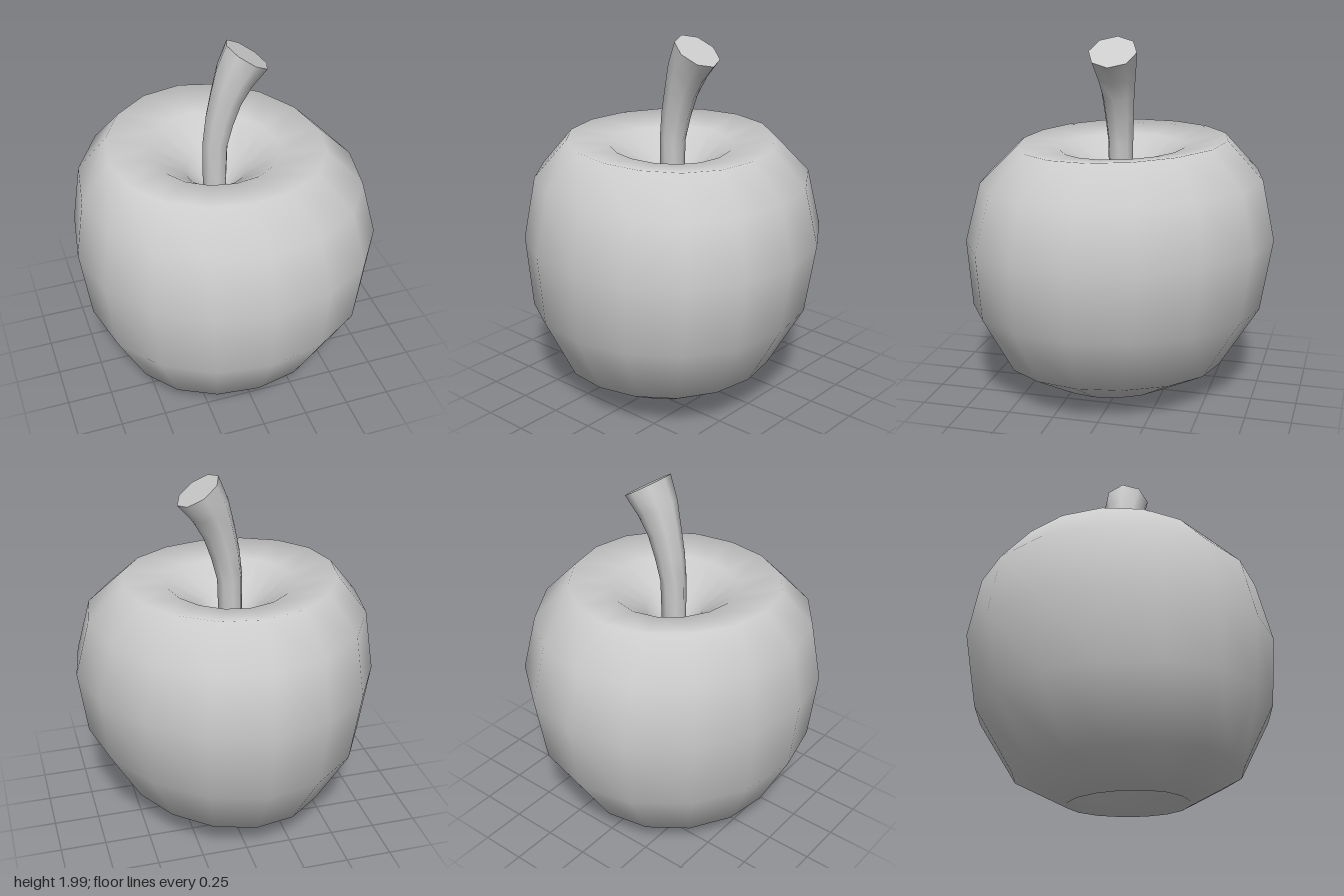
import * as THREE from 'three';

const material = new THREE.MeshStandardMaterial({ color: 0xcccccc, side: THREE.DoubleSide });

// Smooth skin over rings listed from top to bottom; point(ring, angle) gives [x, y, z].
function loft(name, rings, sides, point) {
  const positions = [];
  const index = [];
  rings.forEach((ring, i) => {
    for (let j = 0; j < sides; j++) {
      positions.push(...point(ring, (j / sides) * Math.PI * 2));
      if (i === rings.length - 1) continue;
      const a = i * sides + j;
      const b = i * sides + ((j + 1) % sides);
      index.push(a, b, a + sides, b, b + sides, a + sides);
    }
  });
  const geometry = new THREE.BufferGeometry();
  geometry.setAttribute('position', new THREE.Float32BufferAttribute(positions, 3));
  geometry.setIndex(index);
  geometry.computeVertexNormals();
  const mesh = new THREE.Mesh(geometry, material);
  mesh.name = name;
  return mesh;
}

// Fruit body: slightly uneven rings from the stem pit, over the shoulder, to the lower pit.
function createBody() {
  // [y, radius x, radius z, centre x, centre z, slope along x, slope along z]
  const rings = [
    [1.12, 0, 0, -0.04, 0.01, 0, 0],
    [1.14, 0.07, 0.07, -0.04, 0.01, 0, 0],
    [1.26, 0.16, 0.16, -0.04, 0.01, 0, 0],
    [1.4, 0.34, 0.34, -0.04, 0, -0.02, -0.02],
    [1.437, 0.58, 0.57, -0.035, -0.005, -0.02, -0.025],
    [1.24, 0.755, 0.765, -0.015, -0.005, -0.013, -0.013],
    [0.917, 0.82, 0.84, 0, 0, 0.006, -0.012],
    [0.53, 0.77, 0.795, 0, 0.02, 0.03, 0],
    [0.188, 0.59, 0.605, -0.01, 0.045, 0.055, 0.01],
    [0.03, 0.325, 0.32, -0.025, 0.05, 0.07, 0.005],
    [0.1, 0.2, 0.2, -0.02, 0.03, 0.03, 0],
    [0.2, 0.1, 0.1, -0.02, 0.02, 0, 0],
    [0.25, 0.04, 0.04, -0.02, 0.02, 0, 0],
    [0.25, 0, 0, -0.02, 0.02, 0, 0],
  ];
  return loft('fruitBody', rings, 16, ([y, rx, rz, cx, cz, sx, sz], t) => {
    const c = Math.cos(t);
    const s = Math.sin(t);
    const x = rx * (c - 0.015 + 0.03 * s);
    const z = rz * (s + 0.085 * c * c);
    return [cx + x, y + sx * x + sz * z, cz + z];
  });
}

// Round stalk rings: [x, y, radius, lean]; a repeated ring keeps the cap edge sharp.
function createStalk(name, rings, z) {
  return loft(name, rings, 8, ([x, y, r, lean], t) => [
    x + r * Math.cos(t) * Math.cos(lean),
    y - r * Math.cos(t) * Math.sin(lean),
    z + r * Math.sin(t),
  ]);
}

export function createModel() {
  const model = new THREE.Group();
  model.name = 'apple';
  model.add(createBody());

  // Curved stem, flaring to a flat cut end
  model.add(createStalk('stem', [
    [0.13, 1.93, 0, 0.57],
    [0.13, 1.93, 0.13, 0.57],
    [0.13, 1.93, 0.13, 0.57],
    [0.065, 1.82, 0.11, 0.5],
    [0.02, 1.7, 0.09, 0.36],
    [-0.015, 1.57, 0.08, 0.25],
    [-0.04, 1.43, 0.07, 0.1],
    [-0.045, 1.1, 0.065, 0],
  ], 0.012));

  // Small tip hanging in the lower pit
  model.add(createStalk('bottomTip', [
    [-0.02, 0.27, 0.06, 0],
    [-0.02, 0.19, 0.05, 0],
    [-0.02, 0.15, 0.03, 0],
    [-0.02, 0.15, 0.03, 0],
    [-0.02, 0.15, 0, 0],
  ], 0.02));
  return model;
}
